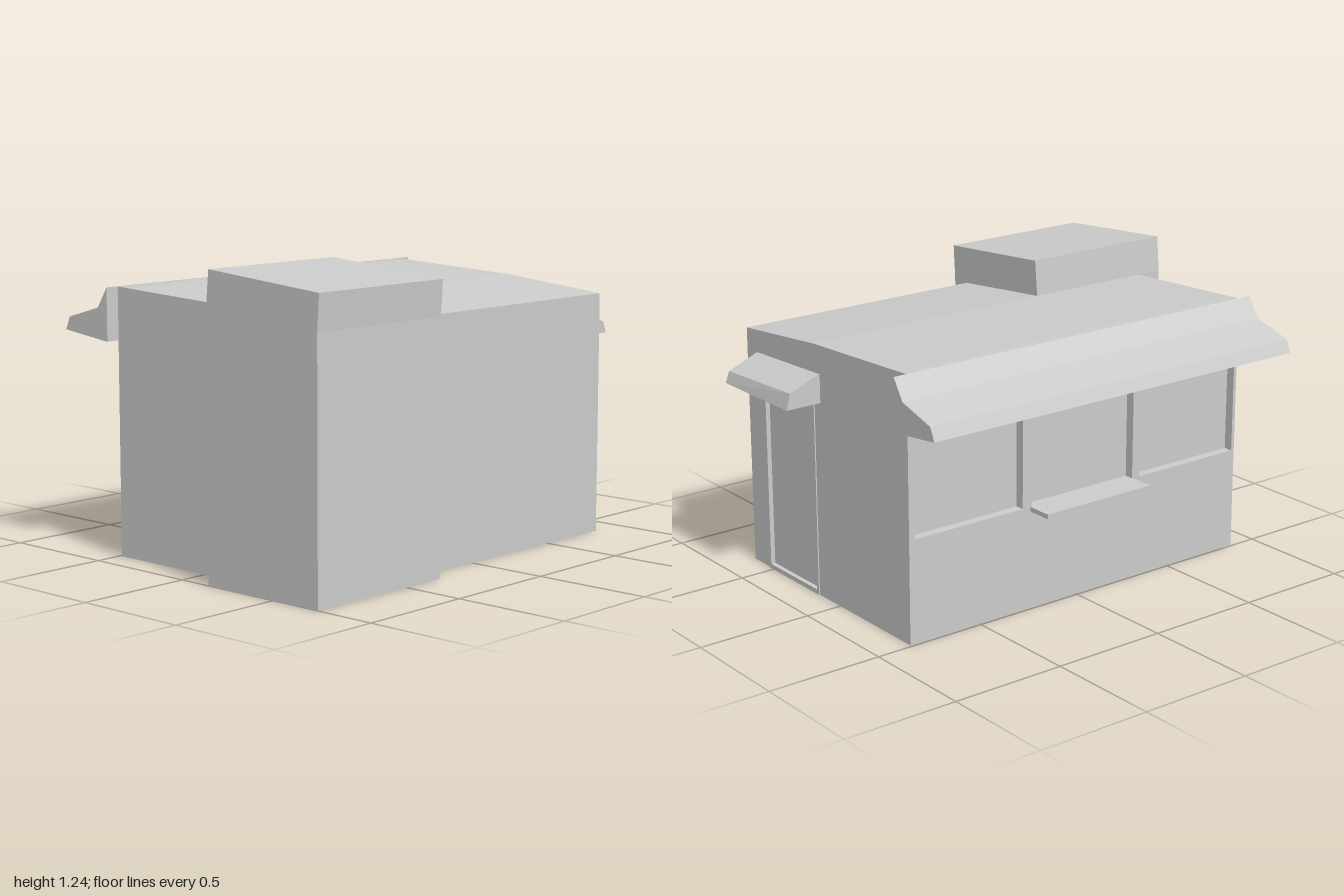
import * as THREE from 'three';

const material = new THREE.MeshStandardMaterial({ color: 0xcccccc, flatShading: true });

function outline(points) {
  return new THREE.Shape(points.map(([a, b]) => new THREE.Vector2(a, b)));
}

function rectHole(a0, a1, b0, b1) {
  return new THREE.Path([[a0, b0], [a0, b1], [a1, b1], [a1, b0]].map(([a, b]) => new THREE.Vector2(a, b)));
}

// Extrudes an (x, y) outline from z0 to z1
function alongZ(shape, z0, z1) {
  return new THREE.ExtrudeGeometry(shape, { depth: z1 - z0, bevelEnabled: false }).translate(0, 0, z0);
}

// Extrudes a (z, y) outline from x0 to x1
function alongX(shape, x0, x1) {
  return new THREE.ExtrudeGeometry(shape, { depth: x1 - x0, bevelEnabled: false })
    .rotateY(-Math.PI / 2).translate(x1, 0, 0);
}

function box(x0, x1, y0, y1, z0, z1) {
  return new THREE.BoxGeometry(x1 - x0, y1 - y0, z1 - z0)
    .translate((x0 + x1) / 2, (y0 + y1) / 2, (z0 + z1) / 2);
}

export function createModel() {
  const model = new THREE.Group();
  model.name = 'kiosk';
  const add = (name, geometry) => {
    const mesh = new THREE.Mesh(geometry, material);
    mesh.name = name;
    model.add(mesh);
  };

  // Main hall with a gently rising two-slope roof
  const hall = [[0.65, 0], [0.65, 1.035], [0.15, 1.084], [-0.45, 1.113], [-0.45, 0]];
  add('mainHall', alongX(outline(hall), -0.88, 0.825));

  // Side wall with the door recess
  const sideWall = outline(hall);
  sideWall.holes.push(rectHole(0.165, 0.515, 0.02, 0.835));
  add('doorWall', alongX(sideWall, 0.825, 0.84));

  // Raised door frame
  const frame = outline([[0.15, 0], [0.53, 0], [0.53, 0.845], [0.15, 0.845]]);
  frame.holes.push(rectHole(0.165, 0.515, 0.02, 0.835));
  add('doorFrame', alongX(frame, 0.838, 0.845));

  // Back wall with three serving windows
  const backWall = outline([[-0.88, 0], [0.84, 0], [0.84, 1.114], [-0.88, 1.114]]);
  for (const [x0, x1] of [[-0.865, -0.34], [-0.30, 0.235], [0.28, 0.815]]) {
    backWall.holes.push(rectHole(x0, x1, 0.44, 0.875));
  }
  add('windowWall', alongZ(backWall, -0.49, -0.45));

  // Counter under the middle window
  add('counter', box(-0.305, 0.24, 0.42, 0.44, -0.6, -0.48));

  // Long awning over the windows
  add('windowAwning', alongX(outline([
    [-0.49, 1.116], [-0.545, 1.03], [-0.72, 0.98], [-0.744, 0.925], [-0.49, 0.895],
  ]), -0.94, 0.9));

  // Corner block with a slanted cap
  add('cornerBlock', alongX(outline([
    [0.735, 0], [0.735, 1.04], [0.745, 1.187], [0.165, 1.236], [0.15, 1.083], [0.15, 0],
  ]), -1, -0.305));

  // Door hood, its top tilted towards the front
  const hood = alongZ(outline([
    [0.838, 0.845], [1, 0.845], [0.982, 0.9025], [0.85, 0.956], [0.838, 0.956],
  ]), 0.108, 0.568);
  const p = hood.attributes.position;
  for (let i = 0; i < p.count; i++) {
    if (p.getY(i) > 0.85) p.setY(i, p.getY(i) - (p.getZ(i) - 0.338) * 0.042);
  }
  hood.computeVertexNormals();
  add('doorHood', hood);

  return model;
}
